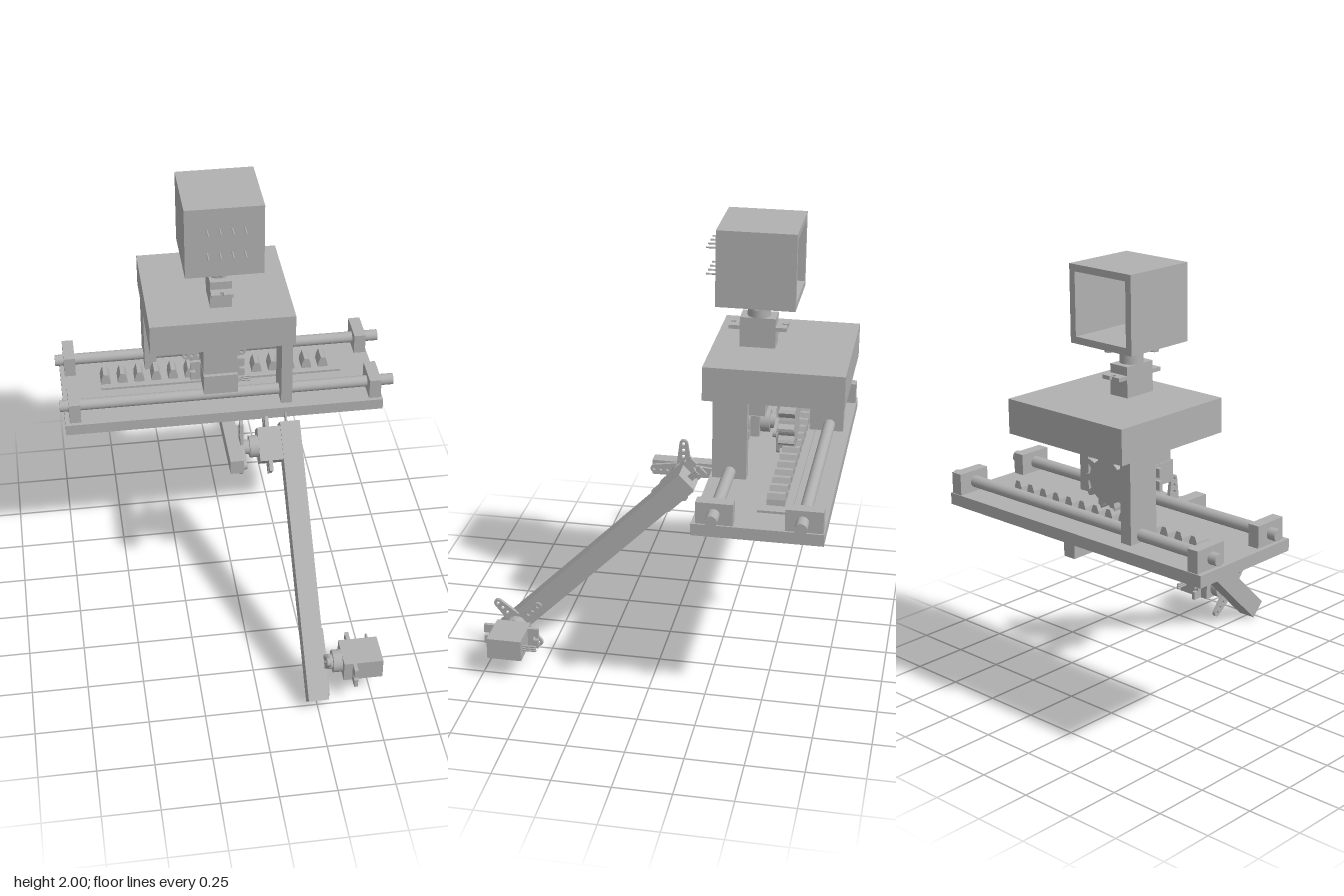
import * as THREE from 'three';

const grey = new THREE.MeshStandardMaterial({ color: 0xb0b0b0 });
grey.name = 'plain grey';

function add(parent, name, geometry, x = 0, y = 0, z = 0) {
  const mesh = new THREE.Mesh(geometry, grey);
  mesh.name = name;
  mesh.position.set(x, y, z);
  parent.add(mesh);
  return mesh;
}

// Box given by its limits on each axis
function block(parent, name, [x0, x1], [y0, y1], [z0, z1]) {
  return add(parent, name, new THREE.BoxGeometry(x1 - x0, y1 - y0, z1 - z0),
    (x0 + x1) / 2, (y0 + y1) / 2, (z0 + z1) / 2);
}

// Cylinder along z between two depths
function rodZ(parent, name, r, z0, z1, x = 0, y = 0, sides = 32) {
  const geometry = new THREE.CylinderGeometry(r, r, z1 - z0, sides).rotateX(Math.PI / 2);
  return add(parent, name, geometry, x, y, (z0 + z1) / 2);
}

const extrude = (shape, depth) =>
  new THREE.ExtrudeGeometry(shape, { depth, bevelEnabled: false, curveSegments: 8 });

// Four-armed servo horn with tapered, round-ended, drilled arms
function hornGeometry() {
  const points = [];
  for (let arm = 0; arm < 4; arm++) {
    const turn = arm * Math.PI / 2;
    const put = (x, y) => points.push(new THREE.Vector2(x, y).rotateAround(new THREE.Vector2(), turn));
    put(0.034, -0.03);
    for (let i = 0; i <= 8; i++) {
      const a = -Math.PI / 2 + i * Math.PI / 8;
      put(0.13 + 0.019 * Math.cos(a), 0.019 * Math.sin(a));
    }
  }
  const shape = new THREE.Shape(points);
  for (let arm = 0; arm < 4; arm++) {
    const a = arm * Math.PI / 2;
    for (const d of [0.07, 0.1, 0.13]) {
      shape.holes.push(new THREE.Path().absarc(d * Math.cos(a), d * Math.sin(a), 0.008, 0, Math.PI * 2, true));
    }
  }
  return extrude(shape, 0.015);
}

// Servo: output shaft on +z, long side on x, cable pins on -x
function servo(parent, name, position, rotation, hornAngle) {
  const g = new THREE.Group();
  g.name = name;
  g.position.set(...position);
  g.rotation.set(...rotation);
  block(g, 'servoBody', [-0.077, 0.077], [-0.048, 0.048], [-0.175, 0]);
  for (const s of [-1, 1]) {
    const tab = new THREE.Shape([[0.077, -0.048], [0.124, -0.048], [0.124, -0.008], [0.1, -0.008],
      [0.1, 0.008], [0.124, 0.008], [0.124, 0.048], [0.077, 0.048]].map(p => new THREE.Vector2(...p)));
    const mesh = add(g, 'mountingTab', extrude(tab, 0.017), 0, 0, s > 0 ? -0.055 : -0.038);
    if (s < 0) mesh.rotation.y = Math.PI;
  }
  rodZ(g, 'gearBoss', 0.05, 0, 0.04);
  rodZ(g, 'outputShaft', 0.033, 0.04, 0.072);
  const horn = add(g, 'horn', hornGeometry(), 0, 0, 0.068);
  horn.rotation.z = hornAngle;
  for (const y of [-0.01, 0, 0.01]) {
    const pin = add(g, 'cablePin', new THREE.CylinderGeometry(0.005, 0.005, 0.06, 8), -0.107, y, -0.14);
    pin.rotation.z = Math.PI / 2;
  }
  parent.add(g);
}

function gearGeometry(teeth, inner, outer, depth) {
  const points = [];
  const step = Math.PI * 2 / teeth;
  for (let i = 0; i < teeth; i++) {
    for (const [f, r] of [[-0.5, inner], [-0.27, inner], [-0.17, outer - 0.012], [-0.08, outer],
      [0.08, outer], [0.17, outer - 0.012], [0.27, inner]]) {
      const a = (i + f) * step;
      points.push(new THREE.Vector2(r * Math.cos(a), r * Math.sin(a)));
    }
  }
  return extrude(new THREE.Shape(points), depth);
}

export function createModel() {
  const model = new THREE.Group();
  model.name = 'slidingServoRig';

  // Base plate and the bar under it that carries the arm
  block(model, 'basePlate', [-0.75, 0.705], [0.883, 0.935], [-0.762, -0.218]);
  block(model, 'supportBar', [-0.043, 0.017], [0.815, 0.883], [-0.747, 0.077]);

  // Guide rods in their end blocks
  for (const [z, z0, z1] of [[-0.673, -0.757, -0.602], [-0.311, -0.39, -0.236]]) {
    const rod = add(model, 'guideRod', new THREE.CylinderGeometry(0.026, 0.026, 1.535, 32), -0.002, 0.98, z);
    rod.rotation.z = Math.PI / 2;
    block(model, 'rodEndBlock', [-0.73, -0.678], [0.935, 1.03], [z0, z1]);
    block(model, 'rodEndBlock', [0.643, 0.697], [0.935, 1.03], [z0, z1]);
  }

  // Toothed rack
  block(model, 'rackPlate', [-0.567, 0.552], [0.935, 0.945], [-0.61, -0.468]);
  const tooth = new THREE.Shape([[-0.023, 0], [0.023, 0], [0.02, 0.025], [0.01, 0.05],
    [-0.01, 0.05], [-0.02, 0.025]].map(p => new THREE.Vector2(...p)));
  for (let i = 0; i < 14; i++) {
    add(model, 'rackTooth', extrude(tooth, 0.076), -0.545 + i * 0.0784, 0.945, -0.576);
  }

  // Carriage: platform on two diagonal legs that slide on the rods
  block(model, 'platform', [-0.36, 0.286], [1.3, 1.45], [-0.786, -0.189]);
  block(model, 'frontLeg', [0.233, 0.283], [0.95, 1.3], [-0.382, -0.235]);
  block(model, 'backLeg', [-0.355, -0.3], [0.95, 1.3], [-0.735, -0.585]);

  // Drive servo hung under the platform, turning the gear
  block(model, 'servoHanger', [-0.12, 0.032], [1.14, 1.3], [-0.423, -0.24]);
  servo(model, 'driveServo', [-0.044, 1.09, -0.4], [0, Math.PI, 0], 0);
  add(model, 'driveGear', gearGeometry(10, 0.095, 0.128, 0.07), -0.044, 1.103, -0.556);

  // Neck servo and the hollow head, open at the back
  servo(model, 'neckServo', [-0.031, 1.583, -0.381], [-Math.PI / 2, 0, Math.PI / 2], 0);
  const head = new THREE.Group();
  head.name = 'head';
  model.add(head);
  const hx = [-0.197, 0.147], hz = [-0.555, -0.218], wall = 0.03;
  block(head, 'headTop', hx, [2 - wall, 2], hz);
  block(head, 'headFloor', hx, [1.668, 1.668 + wall], hz);
  block(head, 'headRightWall', [hx[0], hx[0] + wall], [1.668 + wall, 2 - wall], hz);
  block(head, 'headLeftWall', [hx[1] - wall, hx[1]], [1.668 + wall, 2 - wall], hz);
  block(head, 'headFront', [hx[0] + wall, hx[1] - wall], [1.668 + wall, 2 - wall], [hz[1] - wall, hz[1]]);
  rodZ(head, 'innerDisc', 0.035, -0.262, -0.248, 0.07, 1.765);
  for (const y of [1.783, 1.898]) {
    for (let i = 0; i < 4; i++) rodZ(head, 'facePin', 0.004, -0.225, -0.164, -0.1 + i * 0.054, y, 8);
  }

  // Slanted arm with a servo at each end
  const arm = add(model, 'arm', new THREE.BoxGeometry(0.09, 0.092, 1.25), 0.25, 0.478, 0.315);
  arm.rotation.x = Math.PI / 4;
  servo(model, 'hipServo', [0.1, 0.848, -0.066], [Math.PI / 4, -Math.PI / 2, 0], Math.PI / 4);
  servo(model, 'footServo', [0.373, 0.153, 0.64], [0, -Math.PI / 2, 0], Math.PI / 4);

  return model;
}
